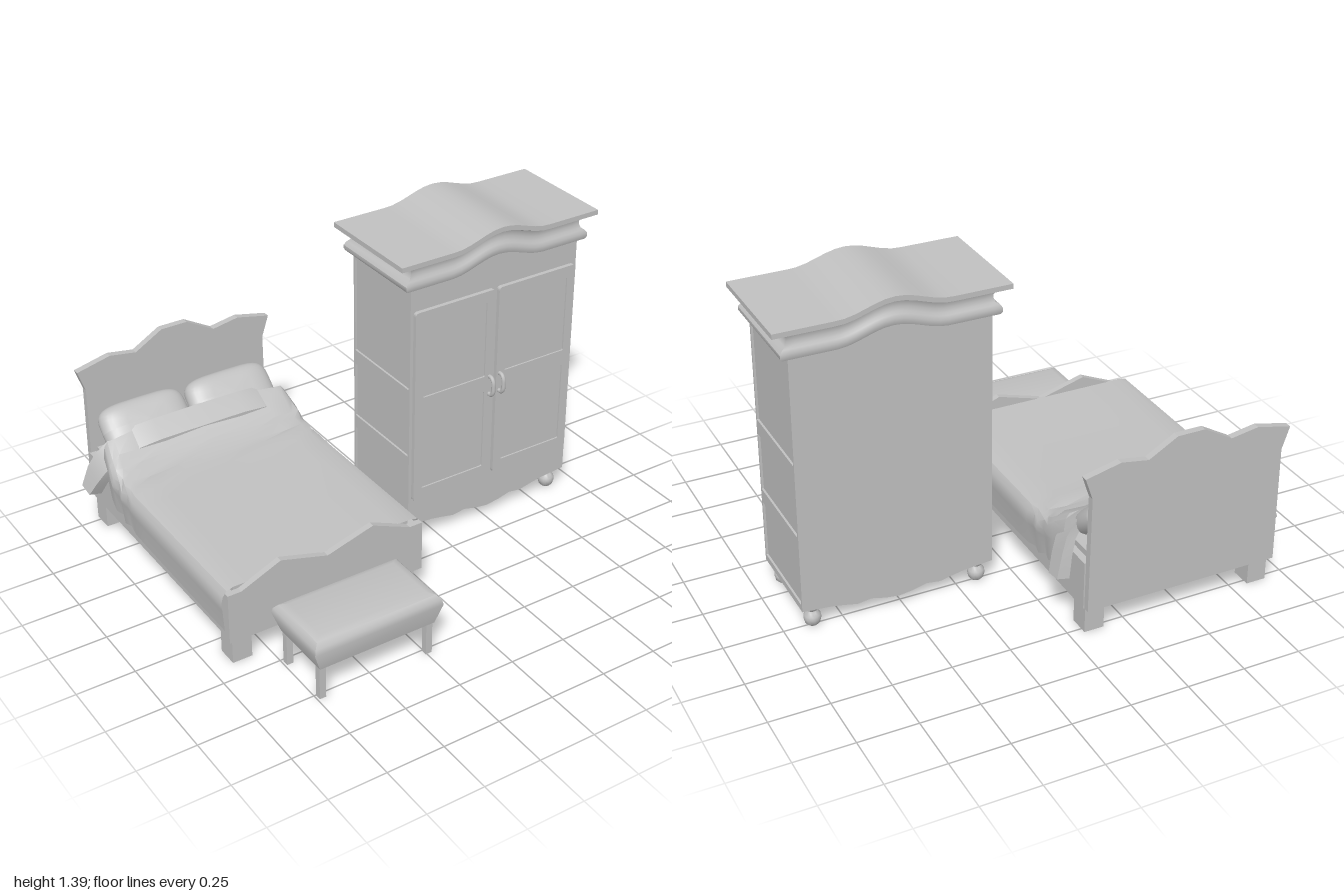
import * as THREE from 'three';
import { toCreasedNormals, mergeVertices } from 'three/addons/utils/BufferGeometryUtils.js';

const grey = new THREE.MeshStandardMaterial({ color: 0xc0c0c0, side: THREE.DoubleSide });
grey.name = 'plain grey';

function add(group, name, geometry, x = 0, y = 0, z = 0) {
  const mesh = new THREE.Mesh(geometry, grey);
  mesh.name = name;
  mesh.position.set(x, y, z);
  group.add(mesh);
  return mesh;
}

// Box given by its limits on each axis
function box(group, name, x0, x1, y0, y1, z0, z1) {
  return add(group, name, new THREE.BoxGeometry(x1 - x0, y1 - y0, z1 - z0),
    (x0 + x1) / 2, (y0 + y1) / 2, (z0 + z1) / 2);
}

// Skin over cross-sections with equal point counts; closed rings get end caps
function loft(rings, closed = true, crease = 0.6) {
  const n = rings[0].length, index = [];
  const quad = (a, b, c, d) => index.push(a, b, c, a, c, d);
  for (let r = 0; r < rings.length - 1; r++) {
    for (let i = 0; i < (closed ? n : n - 1); i++) {
      const j = (i + 1) % n;
      quad(r * n + i, r * n + j, (r + 1) * n + j, (r + 1) * n + i);
    }
  }
  if (closed) {
    const top = (rings.length - 1) * n;
    for (let i = 0; i < n / 2 - 1; i++) {
      quad(i, n - 1 - i, n - 2 - i, i + 1);
      quad(top + i, top + i + 1, top + n - 2 - i, top + n - 1 - i);
    }
  }
  const g = new THREE.BufferGeometry();
  g.setAttribute('position', new THREE.Float32BufferAttribute(rings.flat(2), 3));
  g.setIndex(index);
  return toCreasedNormals(g, crease);
}

// Right half of an outline (bottom to top) mirrored to a whole shape
function mirrored(half) {
  const left = half.filter(p => p[0] > 0).map(([x, y]) => [-x, y]).reverse();
  return new THREE.Shape([...half, ...left].map(p => new THREE.Vector2(...p)));
}

function roundedRect(PathType, x0, x1, y0, y1, r) {
  const s = new PathType();
  s.moveTo(x0 + r, y0);
  s.lineTo(x1 - r, y0); s.quadraticCurveTo(x1, y0, x1, y0 + r);
  s.lineTo(x1, y1 - r); s.quadraticCurveTo(x1, y1, x1 - r, y1);
  s.lineTo(x0 + r, y1); s.quadraticCurveTo(x0, y1, x0, y1 - r);
  s.lineTo(x0, y0 + r); s.quadraticCurveTo(x0, y0, x0 + r, y0);
  return s;
}

const slab = (shape, depth) =>
  new THREE.ExtrudeGeometry(shape, { depth, bevelEnabled: false, curveSegments: 4 });

function makeBed() {
  const bed = new THREE.Group();
  bed.name = 'bed';
  add(bed, 'headboard', slab(mirrored([[0.43, 0.12], [0.425, 0.635], [0.437, 0.67], [0.457, 0.73],
    [0.305, 0.765], [0.185, 0.745], [0.06, 0.817]]), 0.03), 0, 0, -0.808);
  add(bed, 'footboard', slab(mirrored([[0.445, 0.12], [0.445, 0.345], [0.385, 0.345],
    [0.21, 0.42], [0, 0.36]]), 0.027), 0, 0, 0.41);
  box(bed, 'bedBase', -0.42, 0.42, 0.128, 0.15, -0.78, 0.41);
  box(bed, 'mattress', -0.4, 0.4, 0.15, 0.35, -0.775, 0.4);
  for (const s of [-1, 1]) {
    box(bed, 'sideRail', s * 0.42 - 0.015, s * 0.42 + 0.015, 0.12, 0.33, -0.78, 0.41);
    for (const z of [0.368, -0.73]) box(bed, 'bedLeg', s * 0.38 - 0.043, s * 0.38 + 0.043, 0, 0.12, z - 0.045, z + 0.045);
  }

  // Blanket draped over both sides: z, top height, hem height, half width
  const rows = [[0.415, 0.365, 0.16, 0.46], [0.1, 0.365, 0.16, 0.46], [-0.25, 0.365, 0.165, 0.46],
    [-0.34, 0.367, 0.172, 0.462], [-0.39, 0.372, 0.177, 0.456], [-0.43, 0.37, 0.182, 0.464],
    [-0.47, 0.385, 0.188, 0.452], [-0.51, 0.395, 0.193, 0.462], [-0.55, 0.43, 0.2, 0.455], [-0.62, 0.475, 0.21, 0.44]];
  add(bed, 'blanket', loft(rows.map(([z, top, hem, w], k) => {
    const half = [[0, top], [0.4, top], [0.7, top], [0.88, top - 0.002], [0.95, top - 0.012],
      [0.985, top - 0.035], [1, top - 0.07], [0.99, (top + hem) / 2], [0.97, hem]];
    const ripple = k > 3 ? 0.006 : 0;
    const right = half.map(([f, y], i) => [f * w, y + ripple * Math.sin(i * 2.1 + k * 2.6),
      z - (k === 0 ? 0.06 * (top - y) : 0)]);
    const left = right.slice(1).reverse().map(([x, y, zz]) => [-x, y, zz]);
    return [...left, ...right];
  }), false));

  // Turned-back fold: x, front edge y z, back edge y z, inward offset x y
  const half = [[0, 0.44, -0.55, 0.5, -0.63, 0, -0.03], [0.2, 0.44, -0.55, 0.498, -0.63, 0, -0.03],
    [0.3, 0.432, -0.55, 0.49, -0.635, -0.005, -0.03], [0.4, 0.4, -0.56, 0.448, -0.65, -0.025, -0.03],
    [0.455, 0.345, -0.58, 0.395, -0.67, -0.04, -0.02], [0.485, 0.29, -0.605, 0.33, -0.69, -0.045, -0.015],
    [0.513, 0.225, -0.635, 0.235, -0.705, -0.055, -0.012]];
  const fold = [...half.slice(1).reverse().map(h => [-h[0], ...h.slice(1, 5), -h[5], h[6]]), ...half];
  add(bed, 'blanketFold', loft(fold.map(([x, ya, za, yb, zb, nx, ny]) =>
    [[x + nx, ya + ny, za], [x + nx, yb + ny, zb], [x, yb, zb], [x, ya, za]])));

  // Pillows: spheres squared off at the corners
  for (const s of [-1, 1]) {
    const g = new THREE.SphereGeometry(1, 32, 16);
    const p = g.attributes.position;
    const square = v => Math.sign(v) * Math.abs(v) ** 0.45;
    for (let i = 0; i < p.count; i++) {
      p.setXYZ(i, square(p.getX(i)) * 0.2, p.getY(i) * 0.062, square(p.getZ(i)) * 0.115);
    }
    g.computeVertexNormals();
    add(bed, 'pillow', g, s * 0.205, 0.455, -0.685).rotation.x = 0.72;
  }
  bed.position.x = -0.487;
  return bed;
}

function makeBench() {
  const bench = new THREE.Group();
  bench.name = 'bench';
  const profile = [[0.15, 0.26, 0.143], [0.235, 0.29, 0.16], [0.258, 0.285, 0.155],
    [0.278, 0.268, 0.138], [0.287, 0.238, 0.112]];
  add(bench, 'benchSeat', loft(profile.map(([y, w, d]) =>
    [[-w, y, d], [w, y, d], [w, y, -d], [-w, y, -d]])));
  for (const x of [-0.243, 0.243]) {
    for (const z of [-0.12, 0.12]) box(bench, 'benchLeg', x - 0.014, x + 0.014, 0, 0.15, z - 0.014, z + 0.014);
  }
  bench.position.set(-0.484, 0, 0.645);
  return bench;
}

function makeWardrobe() {
  const wardrobe = new THREE.Group();
  wardrobe.name = 'wardrobe';
  // Rise of the arched top over the level ends
  const arch = x => 0.05 * (0.5 + 0.5 * Math.cos(Math.PI * Math.min(Math.abs(x) / 0.23, 1)));
  const front = 0.13, back = -0.285, halfW = 0.405;
  const xs = Array.from({ length: 25 }, (_, i) => -1 + i / 12);

  // Carcass with a scalloped lower edge and arched top
  const lower = [[0, 0.045], [0.06, 0.053], [0.12, 0.068], [0.18, 0.06], [0.24, 0.073], [0.29, 0.082], [halfW, 0.092]];
  const upper = xs.filter(f => f >= 0).reverse().map(f => [f * halfW, 1.24 + arch(f * halfW)]);
  add(wardrobe, 'carcass', toCreasedNormals(slab(mirrored([...lower, ...upper]), front - back), 0.6), 0, 0, back);

  // Side frames, each with three recessed panels
  for (const s of [-1, 1]) {
    const frame = new THREE.Shape([[back, 0.092], [front, 0.092], [front, 1.24], [back, 1.24]]
      .map(p => new THREE.Vector2(...p)));
    for (const [y0, y1] of [[0.12, 0.375], [0.435, 0.69], [0.755, 1.18]]) {
      frame.holes.push(roundedRect(THREE.Path, back + 0.01, front - 0.01, y0, y1, 0.002));
    }
    const g = slab(frame, 0.009);
    g.rotateY(-Math.PI / 2);
    add(wardrobe, 'sideFrame', g, s > 0 ? halfW + 0.009 : -halfW);
  }

  // Cornice: overhang and height of each moulding step, bottom to top
  const steps = [[0.002, 1.215], [0.03, 1.217], [0.037, 1.228], [0.037, 1.243], [0.026, 1.258], [0.012, 1.268],
    [0.005, 1.285], [0.005, 1.3], [0.014, 1.312], [0.04, 1.318], [0.071, 1.324], [0.071, 1.345]];
  add(wardrobe, 'cornice', loft(steps.map(([d, y]) => {
    const w = 0.412 + d, zd = d * 0.55;
    const row = z => xs.map(f => [f * w, y + arch(f * w), z]);
    return [...row(front + zd), ...row(back - zd).reverse()];
  })));

  for (const s of [-1, 1]) {
    // Door: rounded frame around two shallow panels
    const x0 = s > 0 ? 0.01 : -0.4, x1 = x0 + 0.39;
    const door = roundedRect(THREE.Shape, x0, x1, 0.22, 1.112, 0.015);
    for (const [y0, y1] of [[0.275, 0.64], [0.715, 1.06]]) {
      door.holes.push(roundedRect(THREE.Path, x0 + 0.04, x1 - 0.04, y0, y1, 0.006));
    }
    add(wardrobe, 'doorFrame', slab(door, 0.018), 0, 0, front);
    box(wardrobe, 'doorPanel', x0 + 0.03, x1 - 0.03, 0.25, 1.08, front, front + 0.011);

    // Bow handle
    const path = new THREE.CatmullRomCurve3([[0.627, 0.145], [0.628, 0.165], [0.642, 0.176],
      [0.668, 0.178], [0.694, 0.176], [0.709, 0.165], [0.71, 0.145]].map(([y, z]) => new THREE.Vector3(s * 0.026, y, z)));
    add(wardrobe, 'doorHandle', new THREE.TubeGeometry(path, 20, 0.009, 8));

    // Turned feet
    const foot = [[0, 0], [0.022, 0], [0.031, 0.01], [0.036, 0.03], [0.034, 0.045], [0.025, 0.057],
      [0.02, 0.066], [0.026, 0.074], [0.03, 0.08], [0.03, 0.094], [0, 0.094]];
    for (const z of [0.085, -0.245]) {
      add(wardrobe, 'bunFoot', toCreasedNormals(new THREE.LatheGeometry(
        foot.map(p => new THREE.Vector2(...p)), 20), 0.7), s * 0.36, 0, z);
    }
  }
  wardrobe.position.x = 0.515;
  return wardrobe;
}

export function createModel() {
  const model = new THREE.Group();
  model.name = 'bedroomSet';
  model.add(makeBed(), makeBench(), makeWardrobe());
  return model;
}
